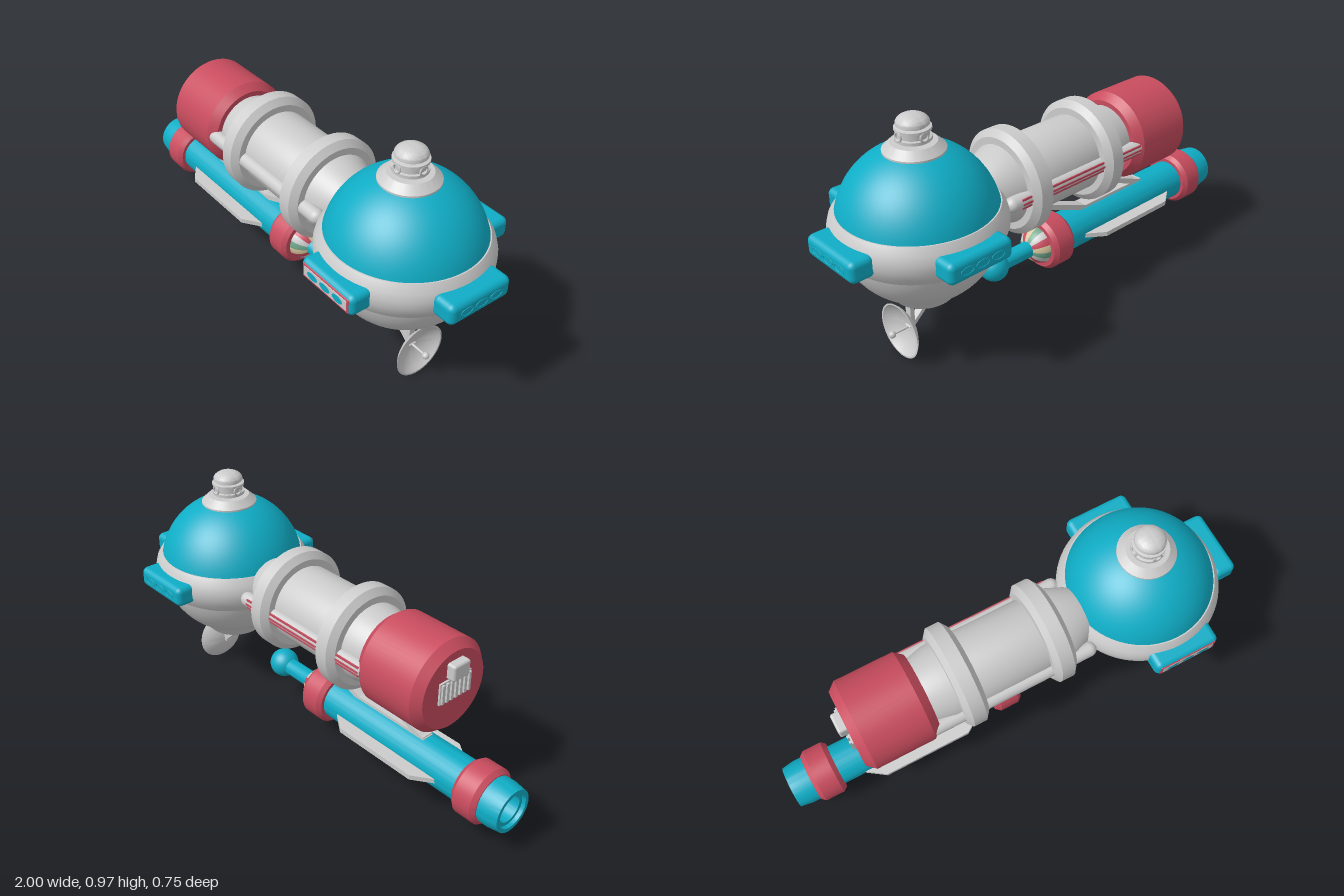
import * as THREE from 'three';
import { toCreasedNormals } from 'three/addons/utils/BufferGeometryUtils.js';
import { RoundedBoxGeometry } from 'three/addons/geometries/RoundedBoxGeometry.js';

const mat = (color) => new THREE.MeshStandardMaterial({ color, side: THREE.DoubleSide });
const grey = mat(0xcccccc), teal = mat(0x0fadc6), red = mat(0xc84c5e);
const cream = mat(0xd8c8a0), green = mat(0x6fa58a);

function add(parent, name, geo, material, x = 0, y = 0, z = 0) {
  const m = new THREE.Mesh(geo, material);
  m.name = name;
  m.position.set(x, y, z);
  parent.add(m);
  return m;
}

// Lathe about y from [radius, height] pairs, rising for an outward face
const turned = (pts, seg = 64) => toCreasedNormals(
  new THREE.LatheGeometry(pts.map(([r, h]) => new THREE.Vector2(r, h)), seg), 0.45);

// Lathe about x from [x, radius] pairs
const turnedX = (pts, seg = 64) =>
  turned(pts.map(([x, r]) => [r, x]), seg).rotateZ(-Math.PI / 2);

// Arc of [radius, height] points from angle a to b, radii rx and ry
const arc = (cy, rx, ry, a, b, n) => Array.from({ length: n + 1 }, (_, i) => {
  const t = a + (b - a) * i / n;
  return [Math.max(0, rx * Math.cos(t)), cy + ry * Math.sin(t)];
});

// Box bar between two points in the xy plane
function bar(parent, name, x1, y1, x2, y2, thick, depth) {
  const m = add(parent, name, new THREE.BoxGeometry(Math.hypot(x2 - x1, y2 - y1), thick, depth),
    grey, (x1 + x2) / 2, (y1 + y2) / 2, 0);
  m.rotation.z = Math.atan2(y2 - y1, x2 - x1);
}

function buildGlobe() {
  const g = new THREE.Group();
  g.name = 'globeModule';
  g.position.x = 0.615;
  add(g, 'lowerHull', turned([[0, 0.24], [0.118, 0.24], [0.153, 0.28],
    ...arc(0.55, 0.306, 0.306, -1.01, -0.25, 16)]), grey);
  add(g, 'equatorRing', turned([[0.28, 0.472], [0.3, 0.472], [0.318, 0.5], [0.33, 0.535],
    [0.33, 0.565], [0.322, 0.595], [0.302, 0.625], [0.28, 0.625]]), grey);
  add(g, 'upperDome', turned(arc(0.55, 0.306, 0.31, 0.24, 1.24, 20)), teal);
  add(g, 'collar', turned([[0.1, 0.835], [0.115, 0.838], [0.115, 0.845], [0.085, 0.873], [0, 0.873]]), grey);
  add(g, 'beacon', turned([[0.05, 0.872], [0.067, 0.88], [0.067, 0.892], [0.058, 0.894],
    [0.058, 0.915], [0.067, 0.918], [0.067, 0.928], [0.052, 0.931], [0.052, 0.936], [0.061, 0.938],
    ...arc(0.942, 0.061, 0.034, 0, Math.PI / 2, 10)], 40), grey);
  // Small round ports around the beacon
  for (let i = 0; i < 4; i++) {
    const a = i * Math.PI / 2;
    const p = add(g, 'beaconPort', new THREE.TorusGeometry(0.016, 0.004, 8, 24), grey,
      0.064 * Math.cos(a), 0.905, 0.064 * Math.sin(a));
    p.rotation.y = Math.PI / 2 - a;
  }
  return g;
}

// Window pod, built facing +z and turned about the globe
function buildPod(angle, panel) {
  const g = new THREE.Group();
  g.name = 'windowPod';
  g.position.set(0.628, 0.549, 0);
  g.rotation.y = angle;
  add(g, 'podShell', new RoundedBoxGeometry(0.28, 0.086, 0.1, 4, 0.024), teal, 0, 0, 0.322);
  if (panel) {
    add(g, 'podTrim', new RoundedBoxGeometry(0.25, 0.06, 0.01, 3, 0.004), red, 0, 0, 0.368);
    add(g, 'podPanel', new RoundedBoxGeometry(0.232, 0.046, 0.01, 3, 0.004), grey, 0, 0, 0.3695);
  }
  for (const x of [-0.068, 0, 0.068]) {
    const rim = add(g, 'windowRim', new THREE.TorusGeometry(0.028, 0.002, 6, 32), teal, x, 0, 0.372);
    rim.scale.y = 0.52;
    if (!panel) continue;
    const pane = add(g, 'windowPane', new THREE.CircleGeometry(0.028, 32), teal, x, 0, 0.3752);
    pane.scale.y = 0.52;
  }
  return g;
}

function buildBody() {
  const g = new THREE.Group();
  g.name = 'mainBody';
  g.position.y = 0.553;
  add(g, 'bodyCylinder', turnedX([[-0.4, 0.135], [-0.37, 0.14], [-0.29, 0.16], [0.23, 0.16],
    [0.34, 0.115]]), grey);
  for (const x of [-0.215, 0.176]) {
    add(g, 'bodyRing', turnedX([[-0.05, 0.15], [-0.05, 0.188], [-0.028, 0.216], [0.028, 0.216],
      [0.05, 0.188], [0.05, 0.15]]), grey, x);
  }
  // Side pipes, the rear one striped
  for (const s of [1, -1]) {
    add(g, 'sidePipe', new THREE.CapsuleGeometry(0.031, 0.68, 8, 20).rotateZ(Math.PI / 2),
      grey, -0.04, 0, s * 0.156);
  }
  for (const y of [-0.017, 0, 0.017]) {
    add(g, 'pipeStripe', new THREE.BoxGeometry(0.66, 0.008, 0.012), red,
      -0.055, y, -0.152 - Math.sqrt(0.031 ** 2 - y ** 2));
  }
  // Rear drum
  add(g, 'rearDrum', turnedX([[-0.685, 0], [-0.685, 0.16], [-0.65, 0.19], [-0.4, 0.19],
    [-0.365, 0.162], [-0.365, 0]]), red);
  // Ribbed hatch on the drum end
  add(g, 'hatchPlate', new THREE.BoxGeometry(0.012, 0.09, 0.16), grey, -0.687, 0.012, 0);
  for (let i = 0; i < 7; i++) {
    add(g, 'hatchRib', new THREE.BoxGeometry(0.016, 0.08, 0.011), grey, -0.693, 0.012, (i - 3) * 0.023);
  }
  add(g, 'hatchBox', new RoundedBoxGeometry(0.045, 0.066, 0.085, 3, 0.01), grey, -0.698, 0.094, 0);
  return g;
}

function buildTube() {
  const g = new THREE.Group();
  g.name = 'lowerTube';
  g.position.y = 0.189;
  add(g, 'tubeHull', turnedX([[-0.85, 0.086], [0, 0.086], [0.02, 0.07]]), teal);
  add(g, 'tailNozzle', turnedX([[-0.94, 0], [-0.94, 0.055], [-0.985, 0.055], [-0.985, 0.07],
    [-1, 0.072], [-1, 0.088], [-0.95, 0.096], [-0.85, 0.096]]), teal);
  for (const x of [-0.855, -0.03]) {
    add(g, 'redCollar', turnedX([[-0.058, 0.08], [-0.058, 0.1], [-0.04, 0.115], [0.04, 0.115],
      [0.058, 0.1], [0.058, 0.08]]), red, x);
  }
  // Striped ball made of alternating lunes
  const stripes = [cream, red, grey, green];
  for (let i = 0; i < 16; i++) {
    const lune = new THREE.SphereGeometry(0.083, 4, 24, i * Math.PI / 8, Math.PI / 8);
    add(g, 'stripedBall', lune.rotateZ(-Math.PI / 2), stripes[i % 4], 0.012);
  }
  add(g, 'probeNeck', turnedX([[0.07, 0.04], [0.09, 0.035], [0.24, 0.035]], 32), teal);
  add(g, 'probeBall', new THREE.SphereGeometry(0.061, 32, 24), teal, 0.269);
  // Slim side fins
  const fin = new THREE.Shape();
  fin.moveTo(-0.275, 0);
  fin.lineTo(-0.19, 0.06);
  fin.lineTo(0.19, 0.06);
  fin.lineTo(0.275, 0);
  const finGeo = new THREE.ExtrudeGeometry(fin, { depth: 0.02, bevelEnabled: false });
  finGeo.rotateX(Math.PI / 2).translate(0, 0.01, 0);
  for (const s of [0, Math.PI]) {
    add(g, 'sideFin', finGeo, grey, -0.435, -0.004, s ? -0.08 : 0.08).rotation.y = s;
  }
  return g;
}

function buildDish() {
  const g = new THREE.Group();
  g.name = 'dishAntenna';
  g.position.set(0.69, 0.115, 0);
  // Thin bowl opening towards +x
  add(g, 'dishBowl', turnedX([[0, 0], [0.004, 0.035], [0.016, 0.07], [0.034, 0.098], [0.05, 0.113],
    [0.05, 0.106], [0.036, 0.092], [0.02, 0.066], [0.01, 0.035], [0.006, 0]], 48), grey);
  add(g, 'dishFeed', new THREE.CylinderGeometry(0.005, 0.005, 0.08, 12).rotateZ(Math.PI / 2), grey, 0.045);
  add(g, 'feedTip', new THREE.SphereGeometry(0.014, 16, 12), grey, 0.083);
  return g;
}

export function createModel() {
  const model = new THREE.Group();
  model.name = 'spaceStation';
  model.add(buildGlobe(), buildBody(), buildTube(), buildDish());
  model.add(buildPod(0, true), buildPod(Math.PI / 2, false), buildPod(Math.PI, false));

  // Open parallelogram frame joining tube and body
  const frame = new THREE.Group();
  frame.name = 'tubeFrame';
  bar(frame, 'frameStrut', -0.58, 0.268, -0.23, 0.405, 0.022, 0.05);
  bar(frame, 'frameStrut', -0.24, 0.268, 0.09, 0.4, 0.022, 0.05);
  bar(frame, 'frameFoot', -0.58, 0.275, -0.23, 0.275, 0.018, 0.05);
  bar(frame, 'frameHead', -0.25, 0.398, 0.09, 0.398, 0.018, 0.05);
  model.add(frame);

  // Dish mounts under the globe
  const mount = new THREE.Group();
  mount.name = 'dishMount';
  bar(mount, 'mountStrut', 0.55, 0.245, 0.697, 0.112, 0.016, 0.03);
  bar(mount, 'mountPost', 0.686, 0.25, 0.686, 0.108, 0.018, 0.03);
  model.add(mount);
  return model;
}
